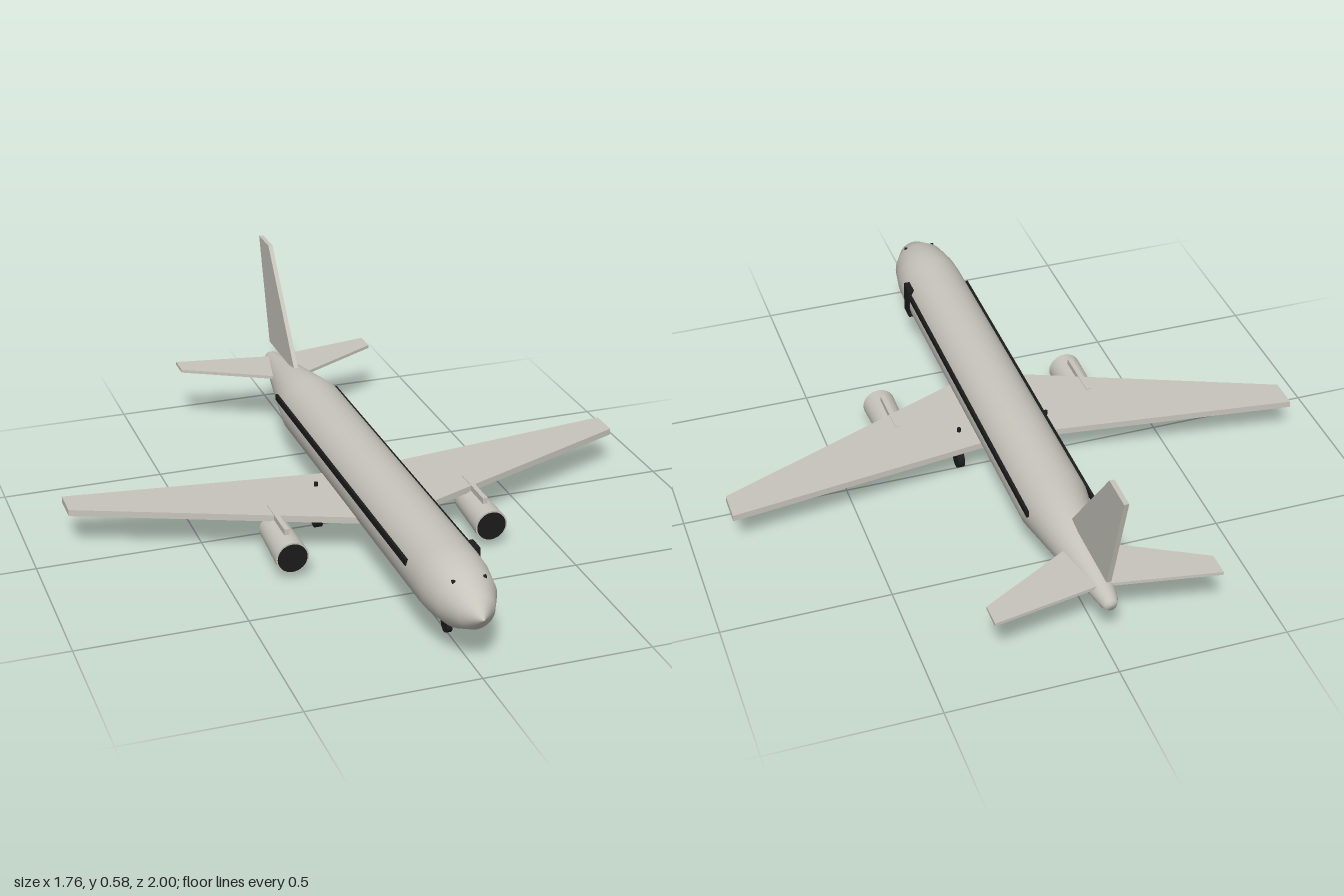
import * as THREE from 'three';

const hull = new THREE.MeshStandardMaterial({ color: 0xc6c4bb });
hull.name = 'warm grey';
const dark = new THREE.MeshStandardMaterial({ color: 0x1c1c1c });
dark.name = 'near black';

export function createModel() {
  const model = new THREE.Group();
  model.name = 'airliner';

  const add = (name, geometry, material, x = 0, y = 0, z = 0) => {
    const mesh = new THREE.Mesh(geometry, material);
    mesh.name = name;
    mesh.position.set(x, y, z);
    model.add(mesh);
    return mesh;
  };

  // Extrudes an outline of [x, z] points on the +x half, mirrored into one flat plate
  const plate = (half, thickness) => {
    const mirrored = half.map(([x, z]) => [-x, z]).reverse();
    const outline = [...half, ...mirrored].map(([x, z]) => new THREE.Vector2(x, -z));
    return new THREE.ExtrudeGeometry(new THREE.Shape(outline), { depth: thickness, bevelEnabled: false })
      .rotateX(-Math.PI / 2);
  };

  // Fuselage: radius and station from tail to nose
  const profile = [
    [0, -0.925], [0.018, -0.922], [0.026, -0.905], [0.066, -0.68], [0.103, -0.46],
    [0.103, 0.74], [0.1, 0.8], [0.086, 0.88], [0.052, 0.95], [0, 1],
  ].map(([r, z]) => new THREE.Vector2(r, z));
  add('fuselage', new THREE.LatheGeometry(profile, 40).rotateX(Math.PI / 2), hull, 0, 0.175, 0);

  // Wings and tailplane
  add('wings', plate([[0.05, 0.264], [0.88, -0.08], [0.88, -0.175], [0.05, -0.067]], 0.02), hull, 0, 0.114, 0);
  add('tailplane', plate([[0.01, -0.67], [0.33, -0.848], [0.33, -0.92], [0.01, -0.863]], 0.01), hull, 0, 0.191, 0);

  // Tail fin, drawn from the side
  const finOutline = [[-0.62, 0.24], [-0.9, 0.24], [-1, 0.585], [-0.893, 0.585]]
    .map(([z, y]) => new THREE.Vector2(-z, y));
  add('tailFin', new THREE.ExtrudeGeometry(new THREE.Shape(finOutline), { depth: 0.014, bevelEnabled: false })
    .rotateY(Math.PI / 2), hull, -0.007, 0, 0);

  // Nose gear
  const wheel = (r, w) => new THREE.CylinderGeometry(r, r, w, 20).rotateZ(Math.PI / 2);
  add('noseWheel', wheel(0.025, 0.016), dark, 0, 0.025, 0.735);
  add('noseStrut', new THREE.CylinderGeometry(0.005, 0.005, 0.07, 10), dark, 0, 0.06, 0.735);

  // Door on the left side only
  add('door', new THREE.BoxGeometry(0.022, 0.1, 0.054), dark, 0.095, 0.18, 0.683);

  for (const s of [1, -1]) {
    const side = s > 0 ? 'left' : 'right';
    add(side + 'WindowStripe', new THREE.BoxGeometry(0.008, 0.02, 1.2), dark, s * 0.1, 0.205, 0.08);
    add(side + 'CockpitWindow', new THREE.BoxGeometry(0.009, 0.009, 0.009), dark, s * 0.045, 0.242, 0.888);

    // Engine: tapered nacelle with a dark intake disc, drooping slightly
    const engine = new THREE.Group();
    engine.name = side + 'Engine';
    engine.position.set(s * 0.31, 0.072, 0.212);
    engine.rotation.x = 0.04;
    const nacelle = new THREE.Mesh(new THREE.CylinderGeometry(0.05, 0.043, 0.19, 32).rotateX(Math.PI / 2), hull);
    nacelle.name = 'nacelle';
    const intake = new THREE.Mesh(new THREE.CylinderGeometry(0.045, 0.045, 0.004, 32).rotateX(Math.PI / 2), dark);
    intake.name = 'intake';
    intake.position.z = 0.095;
    engine.add(nacelle, intake);
    model.add(engine);
    add(side + 'Pylon', new THREE.BoxGeometry(0.015, 0.032, 0.17), hull, s * 0.31, 0.12, 0.17);

    // Main gear
    add(side + 'MainWheel', wheel(0.03, 0.022), dark, s * 0.14, 0.03, 0.01);
    add(side + 'MainStrut', new THREE.CylinderGeometry(0.006, 0.006, 0.11, 10), dark, s * 0.14, 0.091, 0.005);
  }
  return model;
}
